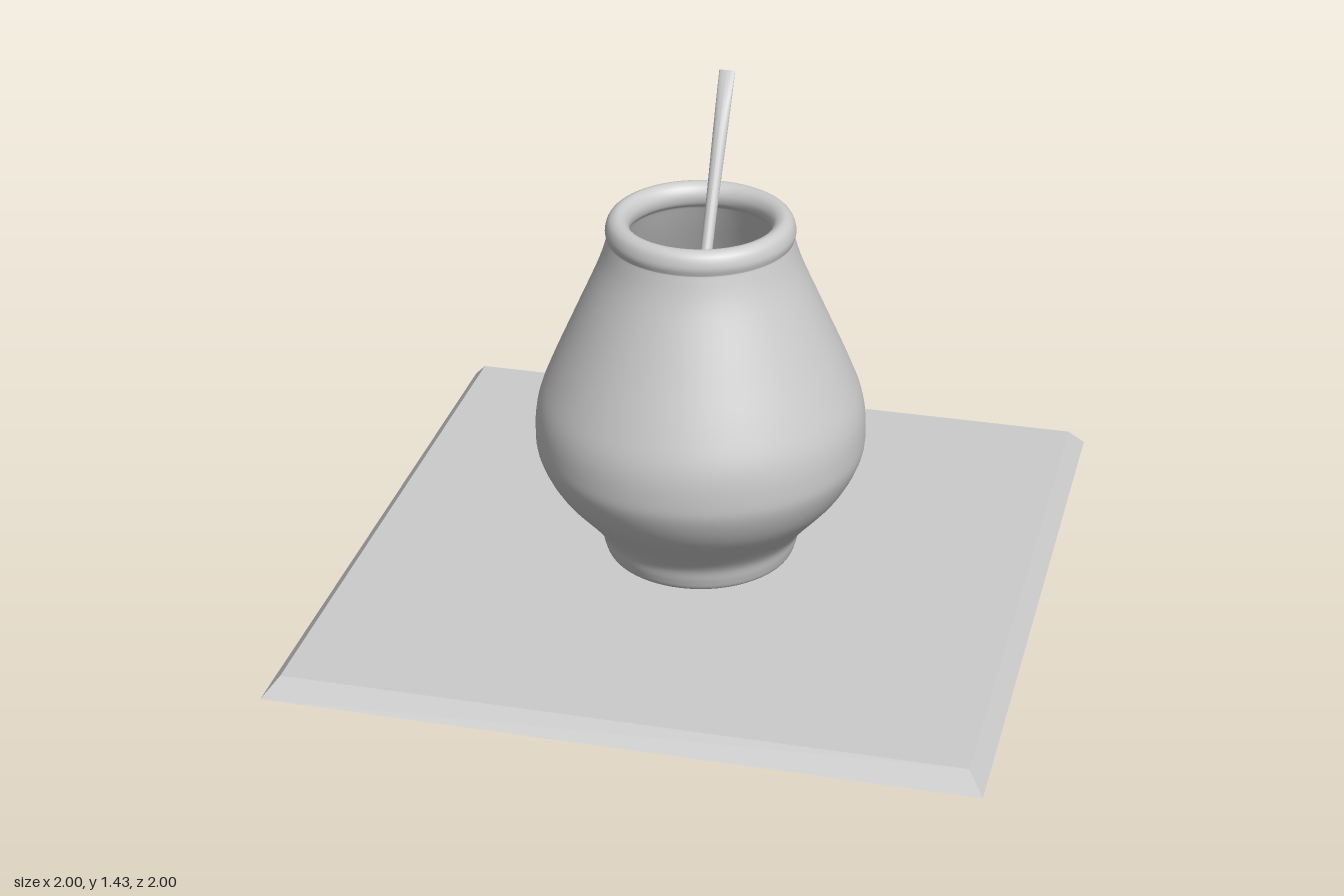
import * as THREE from 'three';

const grey = (opts = {}) => new THREE.MeshStandardMaterial({ color: 0xcccccc, ...opts });
const LIQUID_Y = 0.78;

function add(group, name, geometry, material) {
  const mesh = new THREE.Mesh(geometry, material);
  mesh.name = name;
  group.add(mesh);
  return mesh;
}

// smooth curve through [radius, height] pairs
const smooth = (pairs, n) =>
  new THREE.SplineCurve(pairs.map(([r, y]) => new THREE.Vector2(r, y))).getPoints(n);

export function createModel() {
  const group = new THREE.Group();

  // Square board with bevelled edges: a four-sided frustum turned by 45 degrees
  const board = new THREE.CylinderGeometry(0.955 * Math.SQRT2, Math.SQRT2, 0.055, 4);
  board.rotateY(Math.PI / 4);
  board.translate(0, 0.0275, 0);
  add(group, 'board', board, grey({ flatShading: true }));

  // Gourd cup: foot, belly, rolled rim and inner wall in one turned profile
  const outer = smooth([
    [0.245, 0.06], [0.27, 0.07], [0.282, 0.1], [0.295, 0.145], [0.335, 0.2],
    [0.42, 0.3], [0.466, 0.39], [0.475, 0.46], [0.466, 0.55], [0.43, 0.65],
    [0.36, 0.81], [0.29, 0.97], [0.263, 1.055],
  ], 60);
  const rim = smooth([
    [0.263, 1.057], [0.268, 1.08], [0.258, 1.11], [0.235, 1.123],
    [0.212, 1.113], [0.2, 1.09], [0.203, 1.065], [0.215, 1.05],
  ], 24);
  const inner = smooth([
    [0.217, 1.045], [0.25, 0.965], [0.32, 0.81], [0.39, 0.65], [0.43, 0.5],
    [0.41, 0.37], [0.3, 0.2], [0.2, 0.13],
  ], 30);
  const profile = [
    new THREE.Vector2(0, 0.056), new THREE.Vector2(0.23, 0.056),
    ...outer, ...rim, ...inner, new THREE.Vector2(0, 0.12),
  ];
  add(group, 'cup', new THREE.LatheGeometry(profile, 72), grey());

  // Drink surface inside the cup
  const drink = new THREE.CircleGeometry(0.334, 64);
  drink.rotateX(-Math.PI / 2);
  drink.translate(0, LIQUID_Y, 0);
  add(group, 'drink', drink, grey({ color: 0xffffff }));

  // Straw: widens and flattens into a mouthpiece towards its tip
  const bottom = new THREE.Vector3(0, LIQUID_Y - 0.02, 0.055);
  const tip = new THREE.Vector3(0, 1.43, -0.32);
  const length = bottom.distanceTo(tip);
  const straw = new THREE.CylinderGeometry(1, 1, length, 24, 24);
  const pos = straw.attributes.position;
  for (let i = 0; i < pos.count; i++) {
    const t = pos.getY(i) / length + 0.5;
    const flat = THREE.MathUtils.smoothstep(t, 0.75, 1.05);
    pos.setX(i, pos.getX(i) * (0.017 + 0.006 * THREE.MathUtils.smoothstep(t, 0.4, 1)));
    pos.setZ(i, pos.getZ(i) * (0.016 - 0.013 * flat));
  }
  straw.computeVertexNormals();
  const strawMesh = add(group, 'straw', straw, grey());
  strawMesh.position.copy(bottom).add(tip).multiplyScalar(0.5);
  strawMesh.rotation.x = Math.atan2(tip.z - bottom.z, tip.y - bottom.y);

  return group;
}
